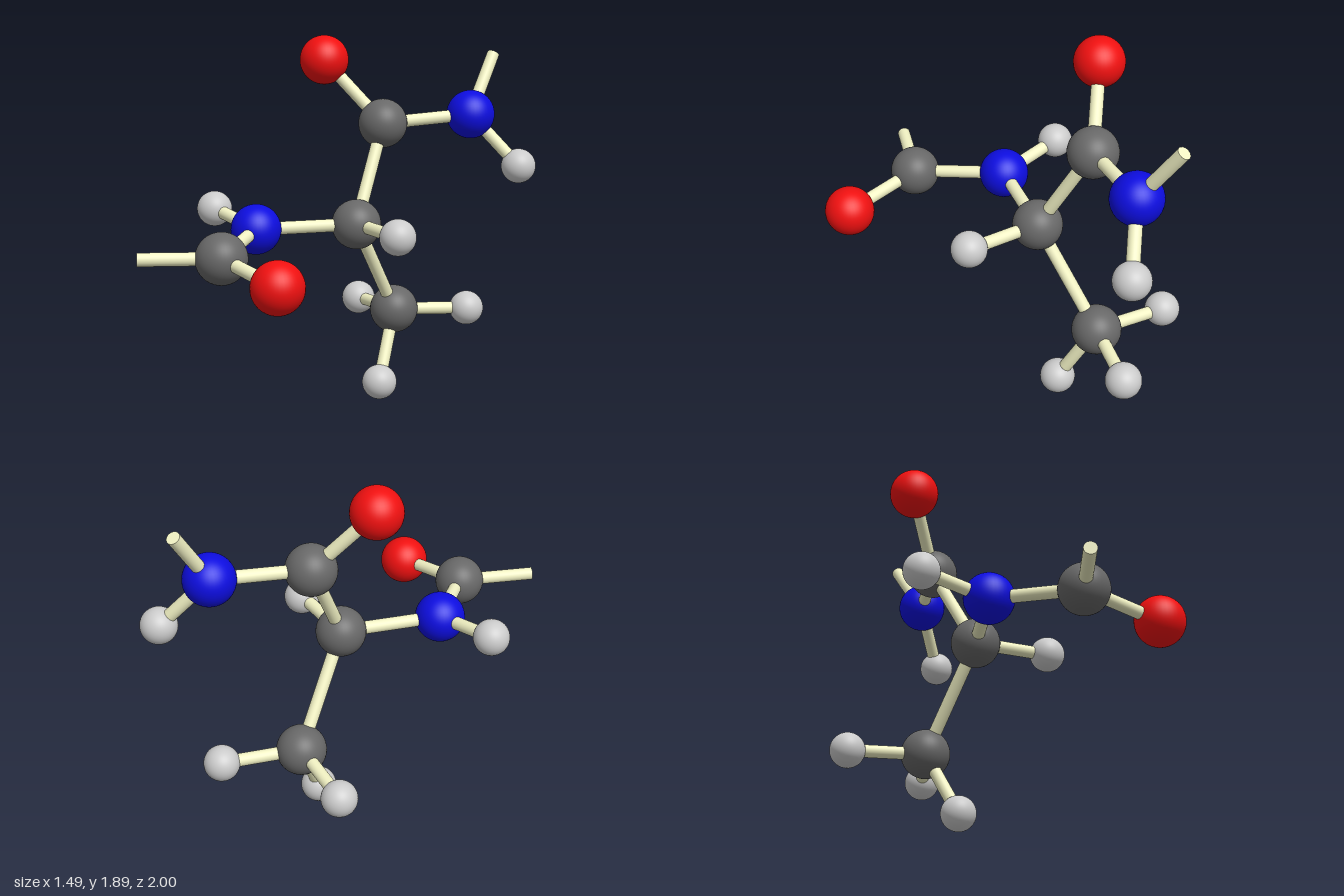
import * as THREE from 'three';

const material = (color) => new THREE.MeshStandardMaterial({ color });

export function createModel() {
  const model = new THREE.Group();
  model.name = 'ballAndStickMolecule';

  const elements = {
    carbon: { radius: 0.127, mat: material(0x686868) },
    nitrogen: { radius: 0.127, mat: material(0x0d0de0) },
    oxygen: { radius: 0.127, mat: material(0xf01010) },
    hydrogen: { radius: 0.091, mat: material(0xcccccc) },
  };
  const bondMat = material(0xf2f2c4);
  const bondRadius = 0.033;

  // Atom centres: element and position
  const atoms = {
    upperOxygen: ['oxygen', -0.23, 1.77, -0.314],
    upperCarbon: ['carbon', 0.065, 1.447, -0.41],
    upperNitrogen: ['nitrogen', 0.405, 1.477, -0.757],
    upperNitrogenHydrogen: ['hydrogen', 0.65, 1.209, -0.838],
    centralCarbon: ['carbon', 0.065, 0.962, -0.126],
    centralHydrogen: ['hydrogen', 0.409, 0.967, 0.085],
    lowerNitrogen: ['nitrogen', -0.312, 0.962, 0.233],
    lowerNitrogenHydrogen: ['hydrogen', -0.656, 1.012, 0.09],
    frontCarbon: ['carbon', -0.206, 0.916, 0.706],
    frontOxygen: ['oxygen', 0.206, 0.86, 0.873],
    methylCarbon: ['carbon', 0.106, 0.445, -0.473],
    methylRightHydrogen: ['hydrogen', -0.234, 0.415, -0.704],
    methylLeftHydrogen: ['hydrogen', 0.41, 0.429, -0.737],
    methylLowerHydrogen: ['hydrogen', 0.126, 0.094, -0.273],
  };
  // Free ends of the two open bonds
  const openEnds = {
    upperOpenEnd: [0.436, 1.782, -0.971],
    frontOpenEnd: [-0.524, 0.922, 0.943],
  };

  const points = {};
  for (const [name, [element, x, y, z]] of Object.entries(atoms)) {
    const { radius, mat } = elements[element];
    const atom = new THREE.Mesh(new THREE.SphereGeometry(radius, 40, 28), mat);
    atom.name = name;
    atom.position.set(x, y, z);
    points[name] = atom.position;
    model.add(atom);
  }
  for (const [name, p] of Object.entries(openEnds)) points[name] = new THREE.Vector3(...p);

  // Bonds run from centre to centre
  const bonds = [
    ['upperCarbon', 'upperOxygen'],
    ['upperCarbon', 'upperNitrogen'],
    ['upperNitrogen', 'upperNitrogenHydrogen'],
    ['upperNitrogen', 'upperOpenEnd'],
    ['centralCarbon', 'upperCarbon'],
    ['centralCarbon', 'centralHydrogen'],
    ['centralCarbon', 'lowerNitrogen'],
    ['centralCarbon', 'methylCarbon'],
    ['lowerNitrogen', 'lowerNitrogenHydrogen'],
    ['lowerNitrogen', 'frontCarbon'],
    ['frontCarbon', 'frontOxygen'],
    ['frontCarbon', 'frontOpenEnd'],
    ['methylCarbon', 'methylRightHydrogen'],
    ['methylCarbon', 'methylLeftHydrogen'],
    ['methylCarbon', 'methylLowerHydrogen'],
  ];
  const up = new THREE.Vector3(0, 1, 0);
  for (const [from, to] of bonds) {
    const a = points[from], b = points[to];
    const axis = b.clone().sub(a);
    const bond = new THREE.Mesh(
      new THREE.CylinderGeometry(bondRadius, bondRadius, axis.length(), 24), bondMat);
    bond.name = `bond ${from} to ${to}`;
    bond.position.copy(a).add(b).multiplyScalar(0.5);
    bond.quaternion.setFromUnitVectors(up, axis.normalize());
    model.add(bond);
  }
  return model;
}
